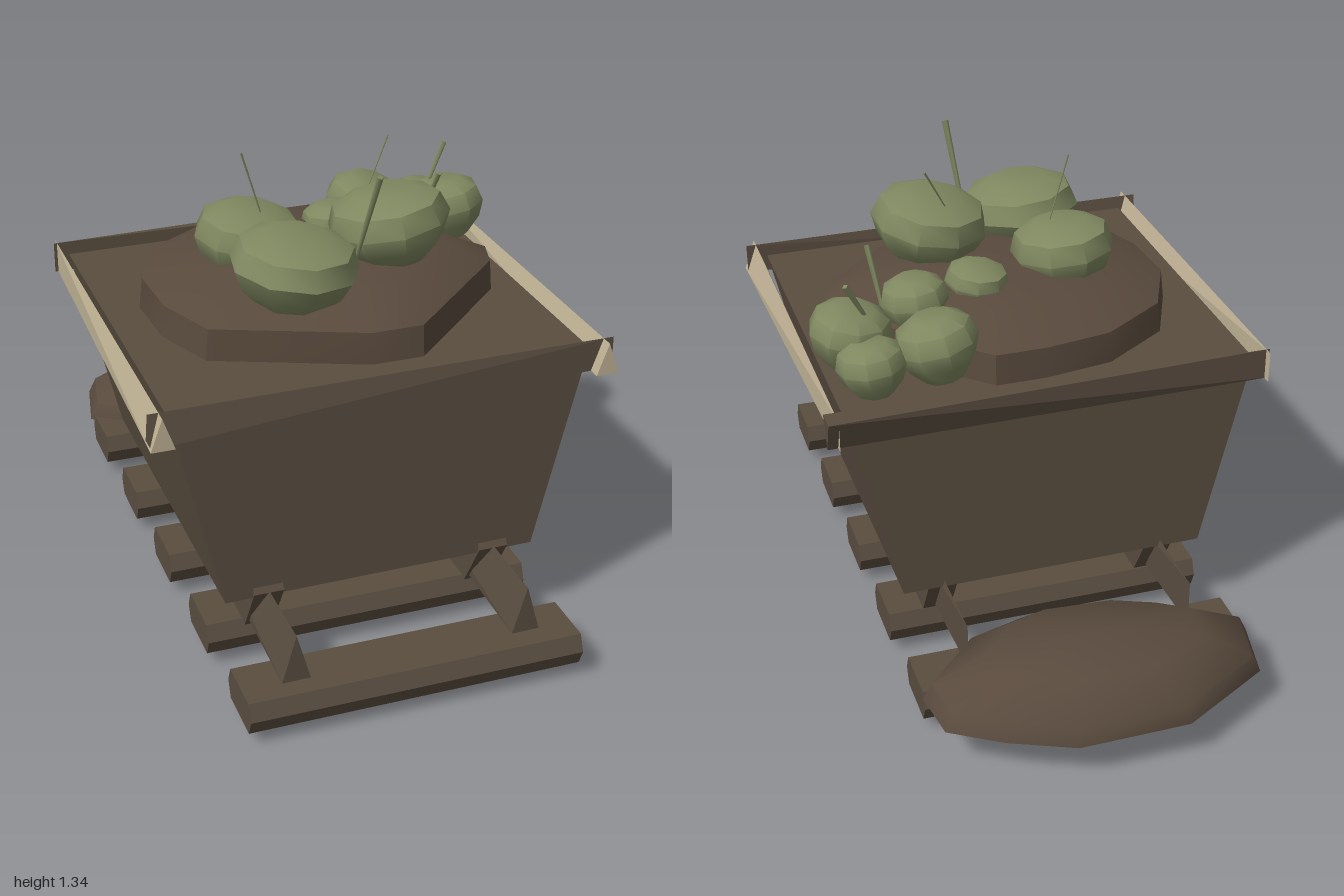
import * as THREE from 'three';
import { toCreasedNormals } from 'three/addons/utils/BufferGeometryUtils.js';

const mat = (name, color) => new THREE.MeshStandardMaterial({ name, color });

// Beam with a triangular near end (+z) that narrows to an upright edge at the far end
function wedge(width, height, length) {
  const w = width / 2, l = length / 2;
  const A = [-w, 0, l], B = [w, 0, l], C = [0, height, l], D = [0, 0, -l], E = [0, height, -l];
  const tris = [A, B, C, A, D, B, B, D, E, B, E, C, A, C, E, A, E, D];
  const g = new THREE.BufferGeometry();
  g.setAttribute('position', new THREE.Float32BufferAttribute(tris.flat(), 3));
  g.computeVertexNormals();
  return g;
}

// Lump made of one plan outline repeated at [scale, y] levels about a centre
function lump(outline, [cx, cz], levels, crease) {
  const pos = [], idx = [], n = outline.length;
  for (const [s, y] of levels)
    for (const [x, z] of outline) pos.push(cx + (x - cx) * s, y, cz + (z - cz) * s);
  for (let k = 0; k < levels.length - 1; k++)
    for (let i = 0; i < n; i++) {
      const j = (i + 1) % n, a = k * n + i, b = k * n + j, c = a + n, d = b + n;
      idx.push(a, c, b, b, c, d);
    }
  const g = new THREE.BufferGeometry();
  g.setAttribute('position', new THREE.Float32BufferAttribute(pos, 3));
  g.setIndex(idx);
  return toCreasedNormals(g, crease);
}

export function createModel() {
  const root = new THREE.Group();
  const wood = mat('dark brown', 0x5a4d40);
  const trim = mat('pale tan', 0xbfb194);
  const soil = mat('earth brown', 0x594a3d);
  const fruit = mat('dull green', 0x7f8860);

  const add = (name, geo, m, x = 0, y = 0, z = 0) => {
    const mesh = new THREE.Mesh(geo, m);
    mesh.name = name;
    mesh.position.set(x, y, z);
    root.add(mesh);
    return mesh;
  };

  // Tub: box whose sides flare outward towards the top
  const tub = new THREE.BoxGeometry(1.18, 0.59, 1.08).toNonIndexed();
  const p = tub.attributes.position;
  for (let i = 0; i < p.count; i++) if (p.getY(i) < 0) p.setX(i, Math.sign(p.getX(i)) * 0.45);
  tub.computeVertexNormals();
  add('tub', tub, wood, 0, 0.565, 0.16);

  // Rim: pale side beams, dark end beams
  for (const s of [-1, 1]) add('sideRim', wedge(0.065, 0.092, 1.18), trim, s * 0.62, 0.8, 0.165);
  add('frontRim', wedge(0.045, 0.092, 1.3), wood, 0, 0.8, 0.72).rotation.y = -Math.PI / 2;
  const back = add('backRim', wedge(0.065, 0.092, 1.28), wood, 0.01, 0.892, -0.4);
  back.rotation.set(Math.PI, Math.PI / 2, 0, 'YXZ');
  back.rotation.set(0, Math.PI / 2, Math.PI, 'YXZ');

  // Rails and six-sided wheels
  for (const s of [-1, 1]) {
    add('rail', wedge(0.08, 0.14, 1.54), wood, s * 0.33, 0.15, 0.16);
    for (const z of [0.535, -0.2]) {
      const wheel = new THREE.CylinderGeometry(0.175, 0.175, 0.085, 6);
      wheel.rotateZ(Math.PI / 2);
      add('wheel', toCreasedNormals(wheel, 0.5), wood, s * 0.33, 0.283, z);
    }
  }

  // Sleepers: chamfered planks, slightly skewed
  const tieShape = new THREE.Shape([[-0.1, 0.0], [-0.08, -0.047], [0.08, -0.047],
    [0.1, 0.0], [0.08, 0.047], [-0.08, 0.047]].map(([a, b]) => new THREE.Vector2(a, b)));
  for (let i = 0; i < 5; i++) {
    const g = new THREE.ExtrudeGeometry(tieShape, { depth: 0.95, bevelEnabled: false });
    g.translate(0, 0, -0.475);
    add('sleeper', g, wood, 0, 0.092, 0.895 - i * 0.37).rotation.y = Math.PI / 2 - 0.01;
  }

  // Earth heap in the tub
  add('earthHeap', lump(
    [[0.53, 0.17], [0.5, 0.27], [0.15, 0.6], [0.0, 0.6], [-0.41, 0.43], [-0.48, 0.25], [-0.49, 0.05],
      [-0.4, -0.15], [-0.2, -0.28], [0, -0.31], [0.15, -0.31], [0.36, -0.1]],
    [0.08, 0.17], [[1, 0.84], [0.98, 0.95], [0.68, 1.01], [0.35, 1.035], [0, 1.04]], 0.5), soil);

  // Boulder of earth behind the track
  add('boulder', lump(
    [[0.48, -0.68], [0.31, -0.51], [0.15, -0.465], [-0.16, -0.49], [-0.35, -0.57], [-0.49, -0.66],
      [-0.45, -0.85], [-0.18, -1], [0.14, -1], [0.32, -0.92], [0.46, -0.83]],
    [0, -0.73], [[0, 0], [0.58, 0.04], [1, 0.13], [0.95, 0.18], [0.62, 0.265], [0, 0.283]], 0.9), soil);

  // Fruit: x, y, z, radius, half height, tilt
  const profile = [[0, -1], [0.5, -0.95], [0.85, -0.4], [1, 0.15], [0.88, 0.7], [0.5, 1], [0, 0.93]]
    .map(([r, y]) => new THREE.Vector2(r, y));
  [
    [-0.14, 1.06, 0.37, 0.18, 0.105, 0.1],
    [0.18, 1.1, 0.26, 0.175, 0.105, -0.15],
    [-0.18, 1.04, 0.09, 0.155, 0.1, 0.1],
    [0.29, 0.96, -0.22, 0.12, 0.095, 0.2],
    [0.51, 0.97, -0.1, 0.12, 0.09, -0.15],
    [0.3, 1.0, -0.02, 0.1, 0.08, 0.1],
    [0.11, 1.02, 0.01, 0.095, 0.06, -0.1],
    [0.48, 0.93, -0.23, 0.1, 0.08, 0.1],
  ].forEach(([x, y, z, r, h, tilt], i) => {
    const g = new THREE.LatheGeometry(profile, 9);
    g.scale(r, h, r);
    add('fruit', toCreasedNormals(g, 0.75), fruit, x, y, z).rotation.set(tilt * 0.6, i * 1.3, -tilt, 'ZXY');
  });

  // Stems: base, tip, tip radius
  [
    [[-0.14, 1.1, 0.12], [-0.21, 1.32, 0.14], 0.003],
    [[0.035, 1.03, 0.36], [0.065, 1.335, 0.47], 0.01],
    [[0.14, 1.17, 0.18], [0.22, 1.32, 0.14], 0.003],
    [[0.39, 0.97, -0.02], [0.412, 1.155, 0.07], 0.009],
    [[0.47, 1.04, -0.14], [0.53, 1.155, -0.165], 0.009],
  ].forEach(([a, b, r]) => {
    const from = new THREE.Vector3(...a), to = new THREE.Vector3(...b);
    const dir = to.clone().sub(from), mid = from.clone().add(to).multiplyScalar(0.5);
    const stem = add('stem', new THREE.CylinderGeometry(r, r * 0.6, dir.length(), 4), fruit, mid.x, mid.y, mid.z);
    stem.quaternion.setFromUnitVectors(new THREE.Vector3(0, 1, 0), dir.normalize());
  });

  return root;
}
